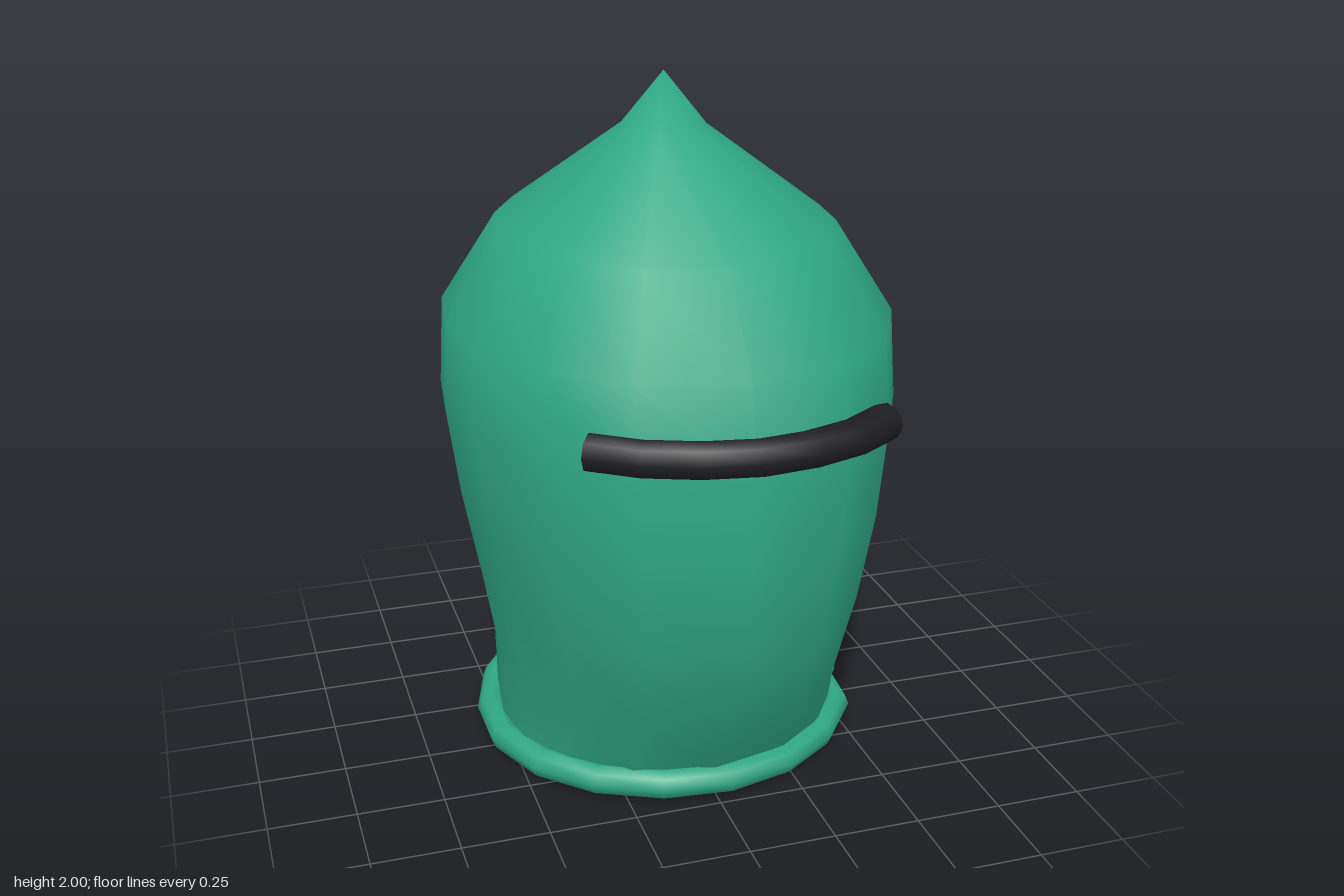
import * as THREE from 'three';

const CZ = -0.05; // depth of the helmet's vertical axis
const green = new THREE.MeshStandardMaterial({ color: 0x2fa884, side: THREE.DoubleSide });
const black = new THREE.MeshStandardMaterial({ color: 0x1e1e22, side: THREE.DoubleSide });

// Slightly squared 16-sided oval: one quarter, from front (0,1) to side (1,0)
const QUARTER = [[0, 1], [0.45, 0.89], [0.76, 0.64], [0.95, 0.33], [1, 0]];
function ovalPoint(j, halfWidth, front, back) {
  const k = j % 16;
  const m = k % 8;
  const [sx, sz] = QUARTER[m <= 4 ? m : 8 - m];
  const x = (k > 8 ? -1 : 1) * sx * halfWidth;
  const z = k <= 4 || k >= 12 ? CZ + sz * (front - CZ) : CZ - sz * (CZ - back);
  return [x, z];
}

// Pointed shell, open at the neck: rows of [y, half width, front z, back z]
function shellGeometry() {
  const rows = [
    [1.85, 0.12, 0.09, -0.19],
    [1.59, 0.47, 0.52, -0.61],
    [1.335, 0.63, 0.71, -0.80],
    [1.08, 0.645, 0.74, -0.805],
    [0.82, 0.61, 0.74, -0.755],
    [0.56, 0.56, 0.70, -0.69],
    [0.30, 0.515, 0.59, -0.655],
    [0.04, 0.51, 0.415, -0.655],
  ];
  const pos = [0, 2, CZ];
  const index = [];
  const id = (i, j) => 1 + i * 16 + (j % 16);
  rows.forEach(([y, w, f, b], i) => {
    for (let j = 0; j < 16; j++) {
      const [x, z] = ovalPoint(j, w, f, b);
      pos.push(x, y, z);
      if (i === 0) index.push(0, id(0, j), id(0, j + 1));
      else {
        index.push(id(i - 1, j), id(i, j), id(i, j + 1));
        index.push(id(i - 1, j), id(i, j + 1), id(i - 1, j + 1));
      }
    }
  });
  const g = new THREE.BufferGeometry();
  g.setAttribute('position', new THREE.Float32BufferAttribute(pos, 3));
  g.setIndex(index);
  g.computeVertexNormals();
  return g;
}

// Tube along points, with flat caps on both ends
function cappedTube(name, points, segments, radius, sides, material) {
  const group = new THREE.Group();
  group.name = name;
  const curve = new THREE.CatmullRomCurve3(points);
  const tube = new THREE.Mesh(new THREE.TubeGeometry(curve, segments, radius, sides, false), material);
  tube.name = name + 'Tube';
  group.add(tube);
  for (const t of [0, 1]) {
    const cap = new THREE.Mesh(new THREE.CircleGeometry(radius, sides), material);
    cap.name = name + 'Cap';
    cap.position.copy(curve.getPoint(t));
    const dir = curve.getTangent(t).multiplyScalar(t ? 1 : -1);
    cap.quaternion.setFromUnitVectors(new THREE.Vector3(0, 0, 1), dir);
    group.add(cap);
  }
  return group;
}

export function createModel() {
  const model = new THREE.Group();
  model.name = 'helmet';

  const shell = new THREE.Mesh(shellGeometry(), green);
  shell.name = 'shell';
  model.add(shell);

  // Neck rim: a rolled band whose ends meet with a small step on the left side
  const rim = [];
  for (let j = 0; j <= 16; j++) {
    const [x, z] = ovalPoint(j + 4, 0.532, 0.445, -0.675);
    const t = j / 16;
    rim.push(new THREE.Vector3(x - (j === 16 ? 0.02 : 0), 0.055 - 0.008 * t, z));
  }
  model.add(cappedTube('neckRim', rim, 18, 0.043, 8, green));

  // Dark eye band curved across the face
  const band = [
    [-0.395, 0.59], [-0.28, 0.675], [-0.14, 0.73], [0, 0.755],
    [0.15, 0.738], [0.29, 0.69], [0.41, 0.61],
  ].map(([x, z]) => new THREE.Vector3(x, 1.163, z));
  model.add(cappedTube('eyeBand', band, 6, 0.052, 8, black));

  return model;
}
